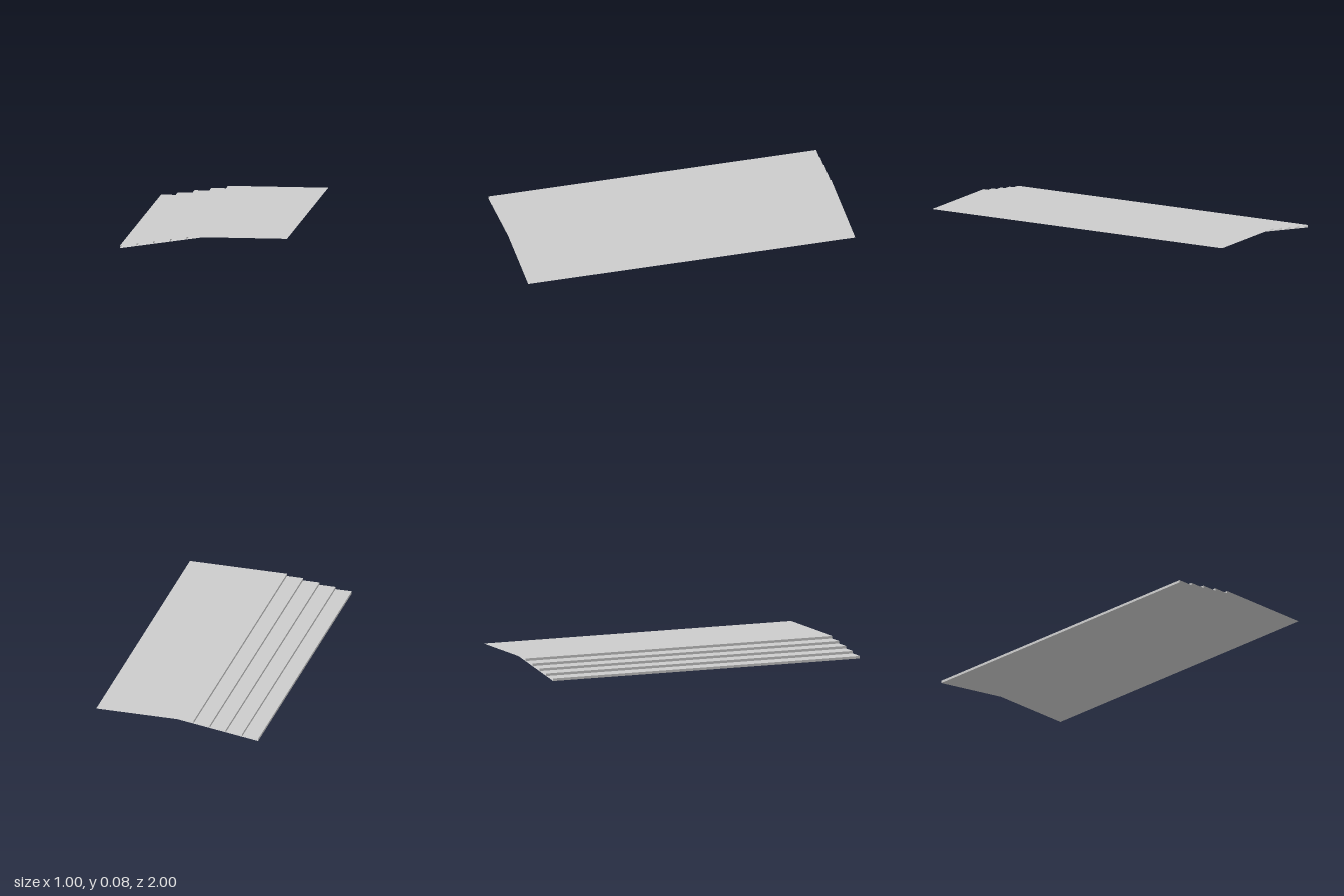
import * as THREE from 'three';

const HALF_LENGTH = 1, STEPS = 5, RUN = 0.1, RISE = 0.015;

// Sweeps an open [x, y] profile along z as flat, uncapped strips
function sweep(name, profile, material) {
  const positions = [];
  for (let i = 0; i < profile.length - 1; i++) {
    const [x0, y0] = profile[i], [x1, y1] = profile[i + 1];
    const a = [x0, y0, HALF_LENGTH], b = [x1, y1, HALF_LENGTH];
    const c = [x1, y1, -HALF_LENGTH], d = [x0, y0, -HALF_LENGTH];
    positions.push(...a, ...b, ...c, ...a, ...c, ...d);
  }
  const geometry = new THREE.BufferGeometry();
  geometry.setAttribute('position', new THREE.Float32BufferAttribute(positions, 3));
  geometry.computeVertexNormals();
  const mesh = new THREE.Mesh(geometry, material);
  mesh.name = name;
  return mesh;
}

export function createModel() {
  const group = new THREE.Group();
  group.name = 'steppedPlatform';
  const material = new THREE.MeshStandardMaterial({ color: 0xcccccc, side: THREE.DoubleSide });
  const top = STEPS * RISE;

  // Shallow steps: a riser, then a level tread
  const steps = [[-0.5, 0]];
  for (let i = 0; i < STEPS; i++) {
    const x = -0.5 + i * RUN, y = (i + 1) * RISE;
    steps.push([x, y], [x + RUN, y]);
  }
  group.add(sweep('steps', steps, material));

  // Thin level deck beyond the top step
  group.add(sweep('deck', [[0, top], [0.5, top]], material));

  // Sloping underside that meets the back of every tread
  group.add(sweep('underside', [[0, top], [-0.5, 0]], material));
  return group;
}
